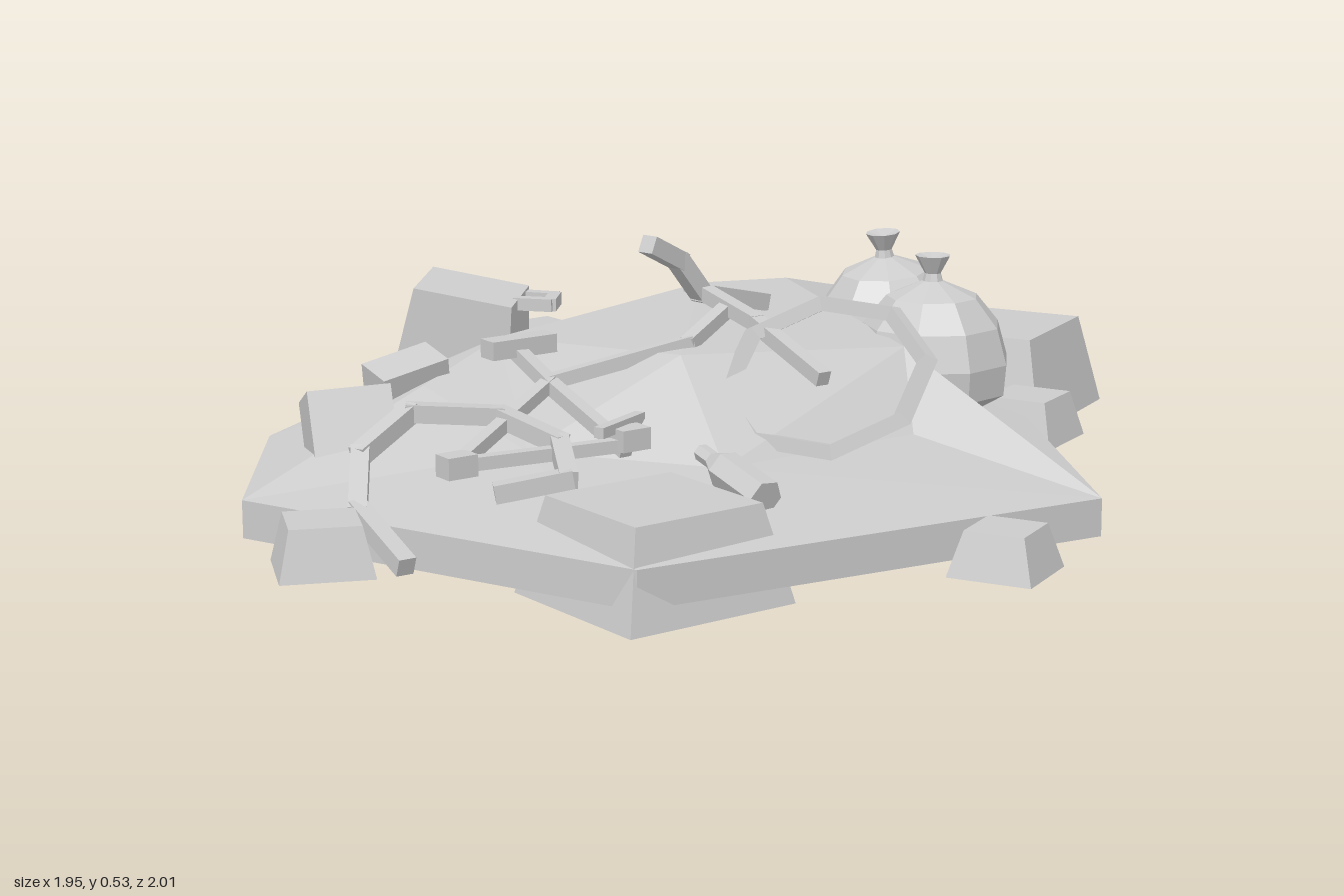
import * as THREE from 'three';

const material = new THREE.MeshStandardMaterial({ color: 0xcccccc, flatShading: true, side: THREE.DoubleSide });

export function createModel() {
  const model = new THREE.Group();

  const add = (name, geometry, pos = [0, 0, 0], rot = [0, 0, 0], parent = model) => {
    const mesh = new THREE.Mesh(geometry, material);
    mesh.name = name;
    mesh.position.set(...pos);
    mesh.rotation.set(...rot);
    parent.add(mesh);
    return mesh;
  };

  // Square block whose top is narrower than its bottom
  const block = (name, bottom, top, y0, y1, x, z, turn, depth = 1) => {
    const g = new THREE.CylinderGeometry(top * Math.SQRT1_2, bottom * Math.SQRT1_2, y1 - y0, 4);
    g.rotateY(Math.PI / 4).scale(1, 1, depth);
    return add(name, g, [x, (y0 + y1) / 2, z], [0, turn, 0]);
  };

  // Chain of square bars through a list of points
  const bars = (name, points, w = 0.026, parent = model) => {
    const group = new THREE.Group();
    group.name = name;
    for (let i = 1; i < points.length; i++) {
      const a = new THREE.Vector3(...points[i - 1]);
      const b = new THREE.Vector3(...points[i]);
      const bar = add(name + 'Bar', new THREE.BoxGeometry(w, w, a.distanceTo(b) + w * 0.5), [0, 0, 0], [0, 0, 0], group);
      bar.position.copy(a).lerp(b, 0.5);
      bar.lookAt(b);
    }
    parent.add(group);
    return group;
  };

  // Ground slab
  const outline = [[-0.375, -0.895], [0.56, -0.62], [0.65, -0.4], [0.53, 0.667], [-0.37, 0.93], [-0.965, 0.33], [-0.875, -0.15]];
  const slabShape = new THREE.Shape(outline.map(([x, z]) => new THREE.Vector2(x, -z)));
  const slab = new THREE.ExtrudeGeometry(slabShape, { depth: 0.07, bevelEnabled: false });
  add('groundSlab', slab.rotateX(-Math.PI / 2), [0, 0.05, 0]);

  // Faceted heap rising from the slab edge
  const v = {
    ridgeBack: [0.02, 0.35, -0.33], ridgeRight: [0.19, 0.36, -0.29], ridgeLeft: [-0.43, 0.3, -0.12],
    brow: [-0.15, 0.33, 0.26], browRight: [0.3, 0.31, 0.19], shoulder: [0.5, 0.28, -0.45],
    foot: [-0.13, 0.18, 0.53], footRight: [0.27, 0.18, 0.36], leftTop: [-0.6, 0.25, 0.05],
    leftFoot: [-0.45, 0.18, 0.33], hollowBack: [0.42, 0.2, -0.3], hollowFront: [0.4, 0.17, 0.18],
  };
  outline.forEach(([x, z], i) => { v['o' + i] = [x, 0.12, z]; });
  const faces = [
    'o6 o0 ridgeLeft', 'o0 ridgeBack ridgeLeft', 'o0 o1 ridgeBack', 'o1 shoulder ridgeBack',
    'shoulder ridgeRight ridgeBack', 'o1 o2 shoulder', 'ridgeRight shoulder hollowBack', 'shoulder o2 hollowBack',
    'hollowBack o2 hollowFront', 'o2 o3 hollowFront', 'ridgeRight hollowBack hollowFront',
    'ridgeRight hollowFront browRight', 'hollowFront o3 browRight', 'o3 footRight browRight', 'o3 foot footRight',
    'o3 o4 foot', 'o4 leftFoot foot', 'o4 o5 leftFoot', 'o5 leftTop leftFoot', 'o5 o6 leftTop',
    'o6 ridgeLeft leftTop', 'ridgeLeft leftFoot leftTop', 'ridgeLeft brow leftFoot', 'leftFoot brow foot',
    'brow browRight foot', 'browRight footRight foot', 'ridgeLeft ridgeBack brow', 'ridgeBack ridgeRight brow',
    'ridgeRight browRight brow',
  ];
  const corners = [];
  for (const face of faces) {
    const [a, b, c] = face.split(' ').map((k) => v[k]);
    // keep every face pointing up
    const up = (b[2] - a[2]) * (c[0] - a[0]) - (b[0] - a[0]) * (c[2] - a[2]);
    corners.push(...a, ...(up > 0 ? [...b, ...c] : [...c, ...b]));
  }
  const heap = new THREE.BufferGeometry();
  heap.setAttribute('position', new THREE.Float32BufferAttribute(corners, 3));
  heap.computeVertexNormals();
  add('heap', heap);

  // Blocks around the edge
  block('largeBlock', 0.37, 0.29, 0, 0.19, 0.72, -0.56, -0.7);
  block('backBlock', 0.2, 0.155, 0.06, 0.16, -0.22, -0.89, 0.44);
  block('rightBlock', 0.17, 0.125, 0.06, 0.15, 0.63, -0.04, -0.75);
  block('frontBlock', 0.155, 0.11, 0.06, 0.14, 0.28, 0.88, -0.7);
  block('leftBlock', 0.165, 0.125, 0.06, 0.15, -0.85, 0.6, 0);
  block('frontLargeBlock', 0.345, 0.265, 0.01, 0.185, -0.3, 0.73, 0.42);

  // Half-buried boxes and rubble
  add('tiltedBox', new THREE.BoxGeometry(0.155, 0.24, 0.115), [-0.75, 0.15, 0.175], [-0.4, 0.05, 0.06]);
  const crate = block('crate', 0.24, 0.2, 0.18, 0.37, -0.465, -0.31, -0.4, 0.75);
  crate.rotation.set(0.12, -0.4, -0.12);
  bars('crateHandle', [[-0.37, 0.34, -0.25], [-0.31, 0.34, -0.22], [-0.29, 0.34, -0.28], [-0.34, 0.34, -0.31]], 0.025);
  add('smallBox', new THREE.BoxGeometry(0.14, 0.08, 0.085), [-0.625, 0.25, -0.005], [0.25, 0.4, 0.1]);
  const rubble = block('rubble', 0.13, 0.07, 0.16, 0.25, -0.035, -0.62, 0.5, 0.65);
  rubble.rotation.z = 0.2;

  // Tied bags
  const bagProfile = [[0.1, 0], [0.15, 0.03], [0.155, 0.09], [0.135, 0.16], [0.09, 0.215], [0.02, 0.245], [0.016, 0.26], [0.035, 0.295], [0, 0.285]];
  const bag = new THREE.LatheGeometry(bagProfile.map(([r, y]) => new THREE.Vector2(r, y)), 9);
  add('bag', bag, [0.395, 0.165, 0.06], [0, 0.2, 0]);
  add('bag', bag, [0.4, 0.165, -0.235], [0, 0.5, 0.1]);

  // Bottle lying on the slope
  const bottleProfile = [[0, -0.09], [0.035, -0.09], [0.035, 0.03], [0.016, 0.065], [0.016, 0.1], [0, 0.1]];
  const bottle = new THREE.LatheGeometry(bottleProfile.map(([r, y]) => new THREE.Vector2(r, y)), 6);
  const bottleMesh = add('bottle', bottle, [-0.135, 0.19, 0.63]);
  bottleMesh.quaternion.setFromUnitVectors(new THREE.Vector3(0, 1, 0), new THREE.Vector3(-0.4, 0.25, -0.88).normalize());

  // Broken bicycle
  const bike = new THREE.Group();
  bike.name = 'bicycle';
  model.add(bike);
  const wheel = add('frontWheel', new THREE.TorusGeometry(0.187, 0.02, 4, 8), [0.1, 0.3, 0.365], [0, 0, 0], bike);
  wheel.quaternion.setFromUnitVectors(new THREE.Vector3(0, 0, 1), new THREE.Vector3(-0.3, 0.8, 0.5).normalize());
  bars('rearWheel', [[-0.72, 0.08, 0.67], [-0.78, 0.14, 0.52], [-0.76, 0.21, 0.4], [-0.66, 0.26, 0.31], [-0.5, 0.25, 0.33],
    [-0.41, 0.22, 0.44], [-0.42, 0.19, 0.58], [-0.54, 0.17, 0.57]], 0.033, bike);
  bars('handlebar', [[-0.175, 0.51, 0.11], [-0.11, 0.47, 0.06], [-0.06, 0.4, 0.03], [0.08, 0.36, -0.06]], 0.034, bike);
  bars('fork', [[-0.07, 0.41, 0], [0.01, 0.37, 0.18], [0.09, 0.3, 0.37]], 0.028, bike);
  bars('frameTop', [[-0.02, 0.385, 0.1], [-0.12, 0.34, 0.2], [-0.39, 0.28, 0.21]], 0.026, bike);
  bars('seatTube', [[-0.44, 0.33, 0.13], [-0.39, 0.28, 0.22], [-0.29, 0.2, 0.43]], 0.026, bike);
  bars('stay', [[-0.39, 0.28, 0.22], [-0.6, 0.2, 0.48]], 0.024, bike);
  bars('chainStay', [[-0.6, 0.2, 0.48], [-0.27, 0.21, 0.43]], 0.024, bike);
  bars('crank', [[-0.34, 0.24, 0.46], [-0.25, 0.24, 0.36]], 0.02, bike);
  add('seat', new THREE.BoxGeometry(0.14, 0.035, 0.045), [-0.43, 0.335, 0.13], [0, 0.4, 0], bike);
  for (const p of [[-0.6, 0.2, 0.48], [-0.28, 0.22, 0.43]]) {
    add('pedal', new THREE.BoxGeometry(0.06, 0.04, 0.045), p, [0, 0.4, 0], bike);
  }

  return model;
}
